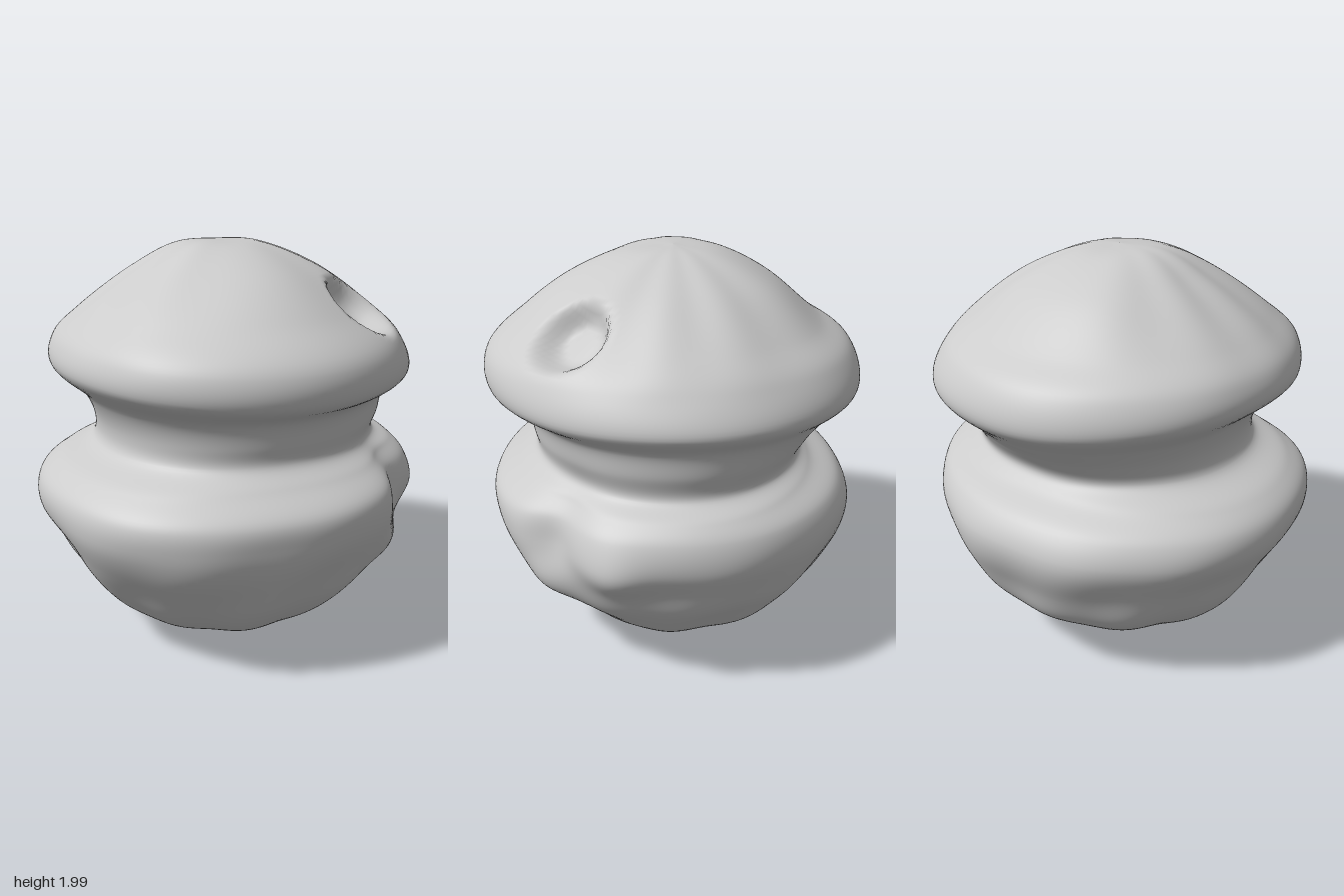
import * as THREE from 'three';

// Half outlines [radius, height] from bottom to top, one per compass direction
const outlines = [
  // left (+x)
  [[0, 0.01], [0.3, 0.05], [0.62, 0.24], [0.8, 0.46], [0.88, 0.61], [0.95, 0.77], [0.93, 0.92], [0.87, 0.99],
    [0.77, 1.05], [0.79, 1.17], [0.81, 1.29], [0.91, 1.41], [0.83, 1.57], [0.71, 1.69], [0.45, 1.87], [0.16, 1.985], [0, 2]],
  // front (+z)
  [[0, 0.01], [0.28, 0.05], [0.56, 0.18], [0.73, 0.35], [0.83, 0.51], [0.91, 0.74], [0.91, 0.87], [0.78, 0.98],
    [0.69, 1.06], [0.7, 1.15], [0.74, 1.27], [0.9, 1.38], [0.9, 1.53], [0.72, 1.7], [0.48, 1.87], [0.24, 1.97], [0, 2]],
  // right (-x)
  [[0, 0.01], [0.28, 0.045], [0.57, 0.18], [0.73, 0.33], [0.86, 0.56], [0.96, 0.74], [0.95, 0.87], [0.86, 0.96],
    [0.68, 1.05], [0.66, 1.14], [0.71, 1.28], [0.87, 1.44], [0.85, 1.55], [0.73, 1.67], [0.45, 1.87], [0.23, 1.985], [0, 2]],
  // back (-z)
  [[0, 0.01], [0.28, 0.06], [0.58, 0.22], [0.74, 0.36], [0.83, 0.53], [0.9, 0.78], [0.84, 0.9], [0.68, 0.99],
    [0.63, 1.05], [0.69, 1.15], [0.8, 1.26], [0.91, 1.38], [0.86, 1.55], [0.71, 1.66], [0.48, 1.85], [0.23, 1.97], [0, 2]],
].map(pts => new THREE.CatmullRomCurve3(pts.map(([r, y]) => new THREE.Vector3(r, y, 0)), false, 'centripetal'));

// Local swelling (push > 0) or hollow (push < 0)
const dent = (x, y, z, size, push) => ({ at: new THREE.Vector3(x, y, z), size, push });
const dents = [
  dent(0.6, 0.56, 0.6, 0.15, 0.06),
  dent(0.88, 0.74, 0.3, 0.13, 0.035),
  dent(0.69, 0.92, 0.56, 0.17, -0.07),
  dent(0.68, 0.76, 0.6, 0.14, -0.05),
  dent(0.52, 0.33, 0.46, 0.18, -0.04),
  dent(-0.66, 0.78, 0.66, 0.32, 0.04),
  dent(-0.62, 1.5, 0.64, 0.25, 0.015),
];

const craterCentre = new THREE.Vector3(0.51, 1.74, 0.5);
const craterRadius = 0.21;
const craterAxis = new THREE.Vector3(0.52, 0.68, 0.52).normalize();

// Gentle hand-moulded unevenness, strongest on the underside
function wobble(a, y) {
  const under = 1 - THREE.MathUtils.smoothstep(y, 0.35, 0.95);
  const top = THREE.MathUtils.smoothstep(y, 1.5, 1.9);
  return (0.004 + 0.014 * under) * Math.sin(5 * a + 7 * y) * Math.cos(3 * a - 9 * y)
    + 0.012 * under * Math.sin(11 * a + 5 * y) + 0.02 * top * Math.sin(9 * a + 2 * Math.sin(2 * a));
}

function bodyGeometry(rows, cols) {
  const rings = outlines.map(c => c.getPoints(rows));
  const positions = [], index = [];
  const p = new THREE.Vector3(), out = new THREE.Vector3();
  for (let i = 0; i <= rows; i++) {
    for (let j = 0; j < cols; j++) {
      // Blend the two nearest outlines around the axis
      const a = (j / cols) * Math.PI * 2;
      const q = (j / cols) * 4, k = Math.floor(q), f = q - k;
      const t = f * f * (3 - 2 * f);
      const ring = rings[k][i].clone().lerp(rings[(k + 1) % 4][i], t);
      const r = ring.x * (1 + wobble(a, ring.y));
      p.set(Math.cos(a) * r, ring.y, Math.sin(a) * r);
      out.set(p.x, (p.y - 1) * 0.6, p.z).normalize();
      for (const d of dents) {
        const s = p.distanceTo(d.at) / d.size;
        p.addScaledVector(out, d.push * Math.exp(-s * s));
      }
      // Round crater, steep near the crown and fading out towards the brim
      const rel = p.clone().sub(craterCentre);
      const depth = rel.dot(craterAxis);
      const s = Math.sqrt(Math.max(0, rel.lengthSq() - depth * depth)) / craterRadius;
      if (depth > -0.3) {
        const soft = THREE.MathUtils.clamp(0.6 - rel.y * 2, 0.1, 0.9);
        p.addScaledVector(craterAxis, -0.11 * (1 - THREE.MathUtils.smoothstep(s, 0.75 - 0.5 * soft, 1)));
      }
      positions.push(p.x, p.y, p.z);
    }
  }
  for (let i = 0; i < rows; i++) {
    for (let j = 0; j < cols; j++) {
      const n = (j + 1) % cols;
      const a = i * cols + j, b = i * cols + n, c = a + cols, d = b + cols;
      if (i > 0) index.push(a, c, b);
      if (i < rows - 1) index.push(b, c, d);
    }
  }
  const geometry = new THREE.BufferGeometry();
  geometry.setAttribute('position', new THREE.Float32BufferAttribute(positions, 3));
  geometry.setIndex(index);
  geometry.computeVertexNormals();
  return geometry;
}

export function createModel() {
  const group = new THREE.Group();
  group.name = 'groovedBall';
  // Single moulded body: domed cap, waist groove and rounded bowl
  const body = new THREE.Mesh(bodyGeometry(144, 192), new THREE.MeshStandardMaterial({ color: 0xcccccc }));
  body.name = 'mouldedBody';
  group.add(body);
  return group;
}
